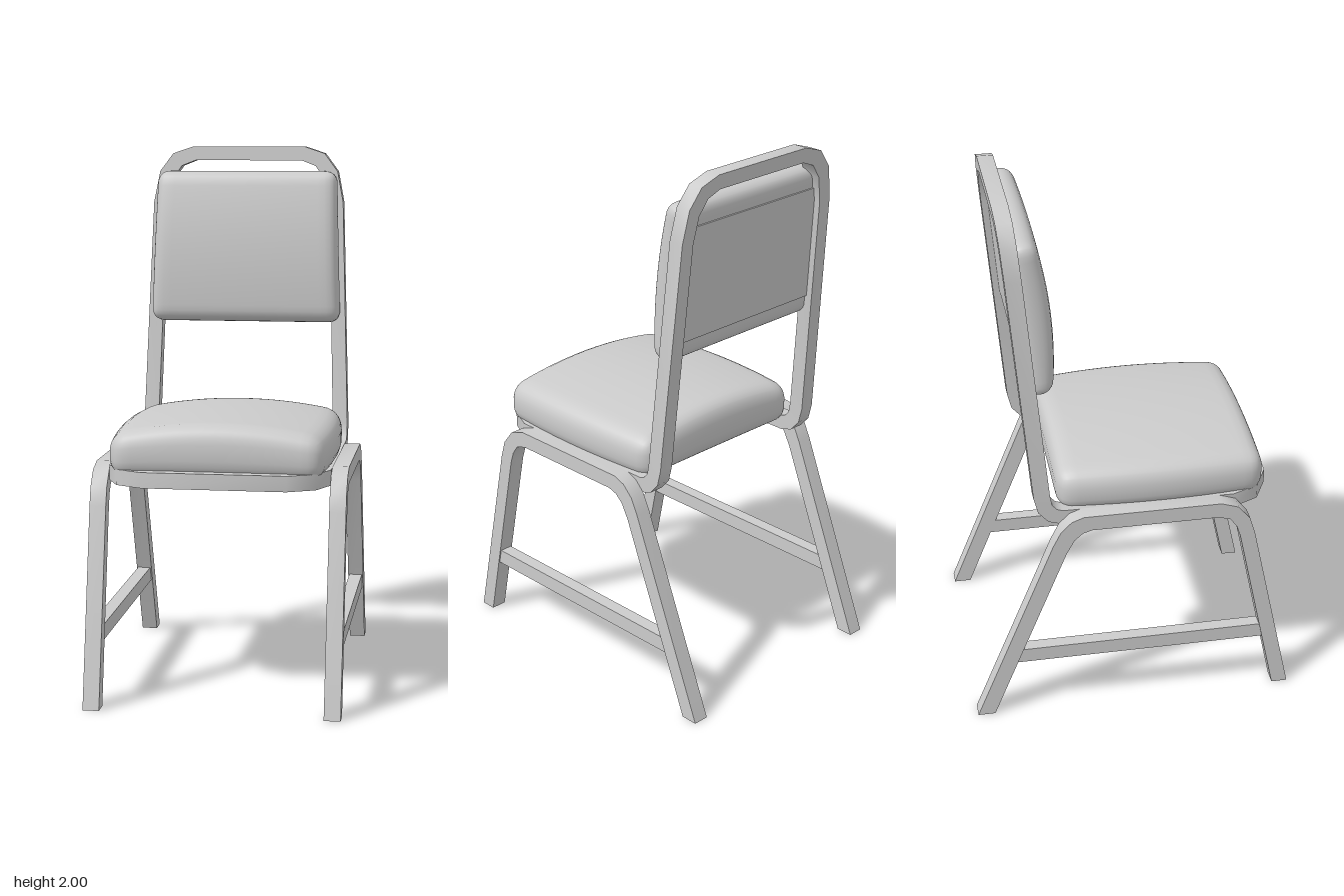
import * as THREE from 'three';
import { mergeVertices, toCreasedNormals } from 'three/addons/utils/BufferGeometryUtils.js';

const material = new THREE.MeshStandardMaterial({ color: 0xcccccc });

function add(parent, name, geometry) {
  const mesh = new THREE.Mesh(geometry, material);
  mesh.name = name;
  parent.add(mesh);
  return mesh;
}

// Side leg frame: an inverted U of square bar, drawn in (z, y) and extruded along x
function legFrameGeometry() {
  const outer = [[0.605, 0], [0.45, 0.72], [0.43, 0.785], [0.385, 0.84], [0.32, 0.862],
    [-0.19, 0.862], [-0.235, 0.845], [-0.275, 0.805], [-0.305, 0.745], [-0.605, 0]];
  const inner = [[-0.54, 0], [-0.255, 0.71], [-0.225, 0.765], [-0.195, 0.792], [-0.16, 0.803],
    [0.31, 0.803], [0.355, 0.79], [0.38, 0.755], [0.395, 0.71], [0.545, 0]];
  const shape = new THREE.Shape([...outer, ...inner].map(([z, y]) => new THREE.Vector2(z, y)));
  const g = new THREE.ExtrudeGeometry(shape, { depth: 0.06, bevelEnabled: false })
    .rotateY(-Math.PI / 2).translate(0.03, 0, 0);
  return toCreasedNormals(g, 0.7);
}

// Closed bar loop: a flat outline (x, u) bent along the seat-to-back profile
function mainFrameGeometry() {
  // Profile knots: [z, y] of the lower/rear face, then of the upper/front face
  const knots = [[0.53, 0.803, 0.53, 0.86], [-0.265, 0.803, -0.258, 0.86],
    [-0.312, 0.818, -0.28, 0.868], [-0.349, 0.86, -0.297, 0.888],
    [-0.364, 0.92, -0.304, 0.925], [-0.46, 2, -0.4, 2]];
  const bend = (x, u, face) => {
    const k = Math.min(4, Math.floor(u)), t = u - k;
    const at = (j) => THREE.MathUtils.lerp(knots[k][j], knots[k + 1][j], t);
    return [x, at(face * 2 + 1), at(face * 2)];
  };
  // Half outline: outer x, outer u, inner x, inner u
  const half = [[0.26, 0, 0.24, 0.07], [0.36, 0.065, 0.325, 0.115], [0.405, 0.19, 0.35, 0.2],
    ...[1, 2, 3, 4].map((u) => [0.405, u, 0.348, u]), [0.375, 4.8, 0.322, 4.79],
    [0.352, 4.91, 0.303, 4.88], [0.3, 4.975, 0.265, 4.93], [0.22, 5, 0.21, 4.95]];
  const loop = [...half, ...half.map(([a, b, c, d]) => [-a, b, -c, d]).reverse()];
  const pos = [], index = [], n = loop.length;
  loop.forEach(([xo, uo, xi, ui], i) => {
    pos.push(...bend(xo, uo, 0), ...bend(xo, uo, 1), ...bend(xi, ui, 1), ...bend(xi, ui, 0));
    for (let k = 0; k < 4; k++) {
      const j = ((i + 1) % n) * 4, m = (k + 1) % 4;
      index.push(i * 4 + k, j + k, j + m, i * 4 + k, j + m, i * 4 + m);
    }
  });
  const g = new THREE.BufferGeometry();
  g.setAttribute('position', new THREE.Float32BufferAttribute(pos, 3));
  g.setIndex(index);
  return toCreasedNormals(g, 0.7);
}

// Upholstered pad lying on y = 0, with rounded edges, a crowned top and bulged or tapered sides
function padGeometry(w, h, d, { r, crownX, crownZ, bulge = 0, taper = 0 }) {
  const box = new THREE.BoxGeometry(2, 2, 2, 24, 10, 24);
  box.deleteAttribute('normal');
  box.deleteAttribute('uv');
  const g = mergeVertices(box);
  const p = g.attributes.position;
  const size = new THREE.Vector3(w / 2, h / 2, d / 2);
  const radius = new THREE.Vector3(r, Math.min(r, h * 0.48), r);
  const limit = size.clone().sub(radius);
  const v = new THREE.Vector3(), core = new THREE.Vector3();
  for (let i = 0; i < p.count; i++) {
    v.fromBufferAttribute(p, i);
    // Crowd the grid towards the edges, where the rounding is
    v.set(...v.toArray().map((c) => Math.sin(c * Math.PI / 2))).multiply(size);
    core.copy(v).clamp(limit.clone().negate(), limit);
    v.sub(core).divide(radius).normalize().multiply(radius).add(core);
    const a = v.x / size.x, b = v.z / size.z, t = v.y / h + 0.5;
    p.setXYZ(i,
      v.x * (1 + bulge * (1 - b * b) + taper * b),
      v.y + h / 2 + t * (crownX * (1 - a * a) + crownZ * (1 - b * b)),
      v.z);
  }
  g.computeVertexNormals();
  return g;
}

export function createModel() {
  const chair = new THREE.Group();
  chair.name = 'chair';

  // Leg frames with a low stretcher, one on each side
  const legs = legFrameGeometry();
  for (const [side, s] of [['left', 1], ['right', -1]]) {
    const group = new THREE.Group();
    group.name = side + 'Legs';
    group.position.x = s * 0.435;
    add(group, side + 'LegFrame', legs);
    add(group, side + 'Stretcher', new THREE.BoxGeometry(0.05, 0.057, 0.98))
      .position.set(0, 0.258, 0.02);
    chair.add(group);
  }

  // Seat rim and back hoop in one bent bar
  add(chair, 'seatAndBackFrame', mainFrameGeometry());

  // Seat: cushion sunk into the rim, flat panel underneath
  const seat = new THREE.Group();
  seat.name = 'seat';
  seat.position.set(0, 0.832, 0.113);
  add(seat, 'seatCushion', padGeometry(0.765, 0.15, 0.775,
    { r: 0.06, crownX: 0.043, crownZ: 0.012, bulge: 0.07 }));
  add(seat, 'seatPanel', new THREE.BoxGeometry(0.69, 0.016, 0.65)).position.y = 0.004;
  chair.add(seat);

  // Backrest, leaning with the hoop: cushion sunk into it, flat panel behind
  const backrest = new THREE.Group();
  backrest.name = 'backrest';
  backrest.position.set(0, 1.608, -0.394);
  backrest.rotation.x = Math.PI / 2 - 0.087;
  add(backrest, 'backCushion', padGeometry(0.725, 0.092, 0.588,
    { r: 0.045, crownX: 0.006, crownZ: 0.026, taper: 0.028 }));
  add(backrest, 'backPanel', new THREE.BoxGeometry(0.68, 0.016, 0.43)).position.y = 0.002;
  chair.add(backrest);

  return chair;
}
